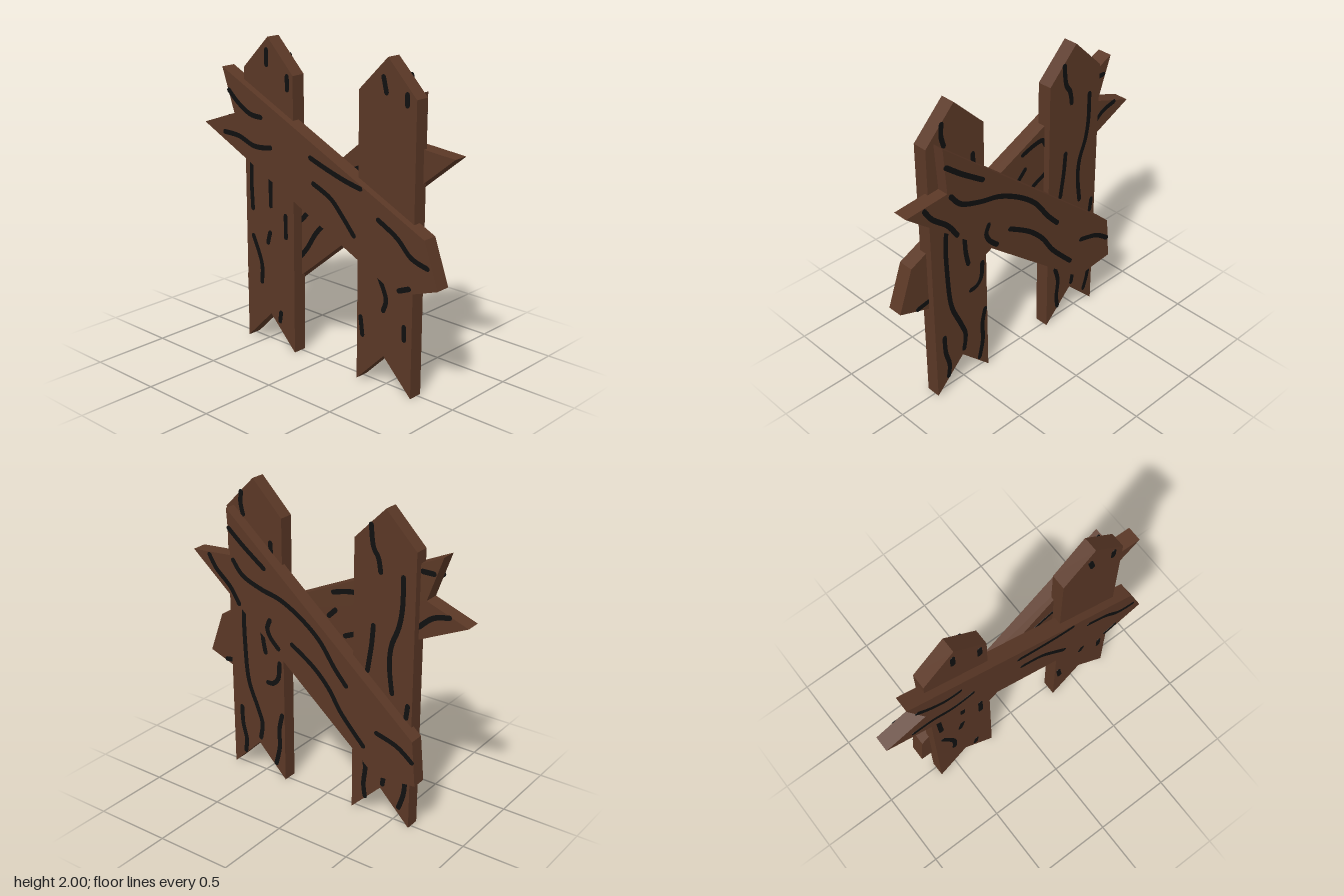
import * as THREE from 'three';

const wood = new THREE.MeshStandardMaterial({ color: 0x5b3826 });
wood.name = 'brown wood';
const grain = new THREE.MeshStandardMaterial({ color: 0x101010 });
grain.name = 'black grain';

// Extrude a [z, y] outline along x, from x0 to x1
function slab(name, outline, x0, x1, material) {
  const shape = new THREE.Shape(outline.map(([z, y]) => new THREE.Vector2(-z, y)));
  const geo = new THREE.ExtrudeGeometry(shape, { depth: x1 - x0, bevelEnabled: false });
  geo.rotateY(Math.PI / 2);
  geo.translate(x0, 0, 0);
  const mesh = new THREE.Mesh(geo, material);
  mesh.name = name;
  return mesh;
}

// Outline of a round-ended brush stroke following [z, y] points
function strokeOutline(points, r = 0.016) {
  const curve = new THREE.SplineCurve(points.map(p => new THREE.Vector2(...p)));
  const n = points.length * 5;
  const left = [], right = [];
  for (let i = 0; i <= n; i++) {
    const p = curve.getPoint(i / n), t = curve.getTangent(i / n);
    left.push([p.x - t.y * r, p.y + t.x * r]);
    right.unshift([p.x + t.y * r, p.y - t.x * r]);
  }
  const cap = (u, sign) => {
    const p = curve.getPoint(u), t = curve.getTangent(u).multiplyScalar(sign);
    return [1, 2, 3].map(k => {
      const a = Math.PI / 2 - k * Math.PI / 4, c = Math.cos(a) * r, s = Math.sin(a) * r;
      return [p.x + t.x * c - t.y * s, p.y + t.y * c + t.x * s];
    });
  };
  return [...left, ...cap(1, 1), ...right, ...cap(0, -1)];
}

// A plank with grain strokes on its left (+x) and right (-x) faces
function plank(name, outline, x0, x1, leftStrokes, rightStrokes) {
  const g = new THREE.Group();
  g.name = name;
  g.add(slab(name + 'Board', outline, x0, x1, wood));
  for (const s of leftStrokes) g.add(slab(name + 'Grain', strokeOutline(s), x1 - 0.001, x1 + 0.002, grain));
  for (const s of rightStrokes) g.add(slab(name + 'Grain', strokeOutline(s), x0 - 0.002, x0 + 0.001, grain));
  return g;
}

// Upright with a pointed top and a notched foot
function postOutline(c) {
  const w = 0.21;
  return [[c + w, 0], [c, 0.21], [c - w, 0], [c - w, 1.79], [c, 2], [c + w, 1.79]];
}

export function createModel() {
  const model = new THREE.Group();
  model.name = 'plankBarricade';

  model.add(plank('frontPost', postOutline(0.527), -0.063, 0.031, [
    [[0.62, 1.9], [0.626, 1.83], [0.61, 1.76]],
    [[0.403, 1.62], [0.4, 1.56]],
    [[0.6, 1.25], [0.626, 1.13], [0.626, 0.92], [0.605, 0.65], [0.536, 0.467], [0.5, 0.36], [0.515, 0.25]],
    [[0.483, 1.08], [0.477, 0.97], [0.46, 0.88]],
    [[0.35, 0.83], [0.36, 0.73], [0.4, 0.68], [0.445, 0.672]],
    [[0.668, 0.43], [0.663, 0.31], [0.637, 0.2], [0.647, 0.11]],
    [[0.336, 0.467], [0.36, 0.36], [0.36, 0.23], [0.39, 0.1]],
  ], [
    [[0.498, 1.885], [0.52, 1.8]],
    [[0.67, 1.81], [0.67, 1.75]],
    [[0.486, 0.7], [0.54, 0.58], [0.52, 0.5]],
    [[0.68, 0.44], [0.68, 0.36]],
    [[0.345, 0.41], [0.36, 0.3]],
  ]));

  model.add(plank('backPost', postOutline(-0.42), -0.063, 0.031, [
    [[-0.324, 1.89], [-0.34, 1.767], [-0.377, 1.7], [-0.393, 1.62]],
    [[-0.546, 1.623], [-0.546, 1.45], [-0.525, 1.316], [-0.477, 1.183], [-0.467, 1.05], [-0.488, 0.88]],
    [[-0.35, 1.28], [-0.34, 1.157], [-0.324, 1.05], [-0.313, 0.98]],
    [[-0.6, 0.83], [-0.59, 0.75]],
    [[-0.28, 0.43], [-0.308, 0.324], [-0.297, 0.2], [-0.308, 0.11]],
    [[-0.45, 0.334], [-0.435, 0.24]],
    [[-0.6, 0.36], [-0.59, 0.23], [-0.557, 0.12]],
  ], [
    [[-0.432, 1.92], [-0.432, 1.83]],
    [[-0.258, 1.78], [-0.258, 1.7]],
    [[-0.41, 1.24], [-0.41, 1.12], [-0.41, 0.94]],
    [[-0.572, 1.25], [-0.58, 1.07], [-0.572, 0.89]],
    [[-0.572, 0.707], [-0.5, 0.54], [-0.5, 0.41]],
    [[-0.28, 0.9], [-0.28, 0.76]],
    [[-0.42, 0.76], [-0.44, 0.69]],
    [[-0.33, 0.24], [-0.34, 0.18]],
  ]));

  // Diagonal on the left face, falling toward the back
  const longGrain = [
    [[0.637, 1.48], [0.562, 1.395], [0.424, 1.342], [0.27, 1.305], [0.11, 1.22], [-0.02, 1.114], [-0.127, 0.97], [-0.212, 0.875]],
    [[0.19, 1.034], [0.032, 0.934], [-0.085, 0.82], [-0.18, 0.68], [-0.34, 0.51]],
  ];
  model.add(plank('leftDiagonal',
    [[0.68, 1.804], [0.66, 1.507], [0.955, 1.483], [-0.424, 0.334], [-0.711, 0.361], [-0.684, 0.653]],
    0.008, 0.105, [
      ...longGrain,
      [[0.663, 1.68], [0.562, 1.597], [0.467, 1.528], [0.398, 1.48]],
      [[0.828, 1.475], [0.775, 1.395], [0.668, 1.3], [0.6, 1.2]],
      [[0.36, 1.15], [0.38, 1.093], [0.355, 1.034], [0.297, 0.976]],
      [[-0.435, 0.63], [-0.55, 0.6], [-0.615, 0.568], [-0.685, 0.515]],
    ], longGrain));

  // Diagonal on the right face, rising toward the back
  model.add(plank('rightDiagonal',
    [[0.849, 1.026], [0.95, 0.748], [0.662, 0.646], [-0.95, 1.4], [-0.674, 1.5], [-0.775, 1.78]],
    -0.111, -0.013, [
      [[-0.642, 1.67], [-0.715, 1.67]],
      [[-0.63, 1.33], [-0.72, 1.406], [-0.825, 1.435]],
      [[-0.032, 1.395], [-0.117, 1.42], [-0.19, 1.427], [-0.22, 1.385]],
      [[0, 1.236], [-0.048, 1.284]],
      [[-0.12, 1.135], [-0.218, 1.178]],
      [[0.82, 0.715], [0.737, 0.73]],
    ], [
      [[-0.718, 1.64], [-0.637, 1.572], [-0.532, 1.517], [-0.439, 1.51]],
      [[-0.765, 1.366], [-0.637, 1.361], [-0.52, 1.323], [-0.44, 1.32], [-0.358, 1.333]],
      [[-0.021, 1.333], [0.119, 1.287], [0.258, 1.248], [0.375, 1.224]],
      [[0.003, 1.179], [0.142, 1.118], [0.235, 1.03], [0.328, 0.928]],
      [[0.514, 1.068], [0.654, 0.993], [0.758, 0.9], [0.875, 0.865]],
      [[0.675, 0.68], [0.747, 0.71]],
    ]));

  return model;
}
